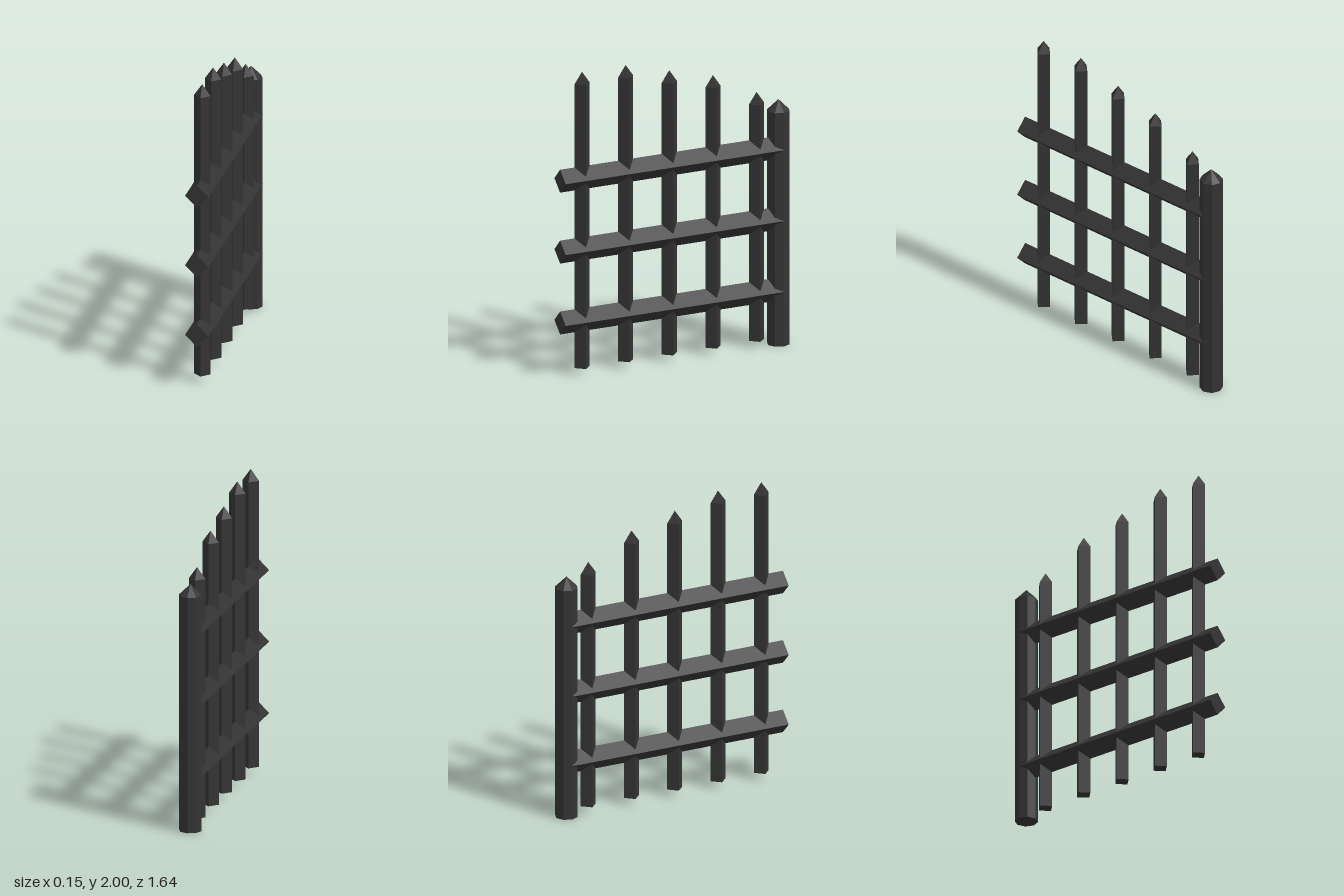
import * as THREE from 'three';

const material = new THREE.MeshStandardMaterial({ color: 0x333333, flatShading: true });

// Upright prism with a pointed top, corners on the x and z axes
function pointedBar(name, sides, radius, bottom, shoulder, tip, z) {
  const profile = [[0, bottom], [radius, bottom], [radius, shoulder], [0, tip]];
  const geometry = new THREE.LatheGeometry(profile.map(([r, y]) => new THREE.Vector2(r, y)), sides);
  const mesh = new THREE.Mesh(geometry, material);
  mesh.name = name;
  mesh.position.z = z;
  return mesh;
}

export function createModel() {
  const fence = new THREE.Group();
  fence.name = 'fence';

  // Octagonal end post
  fence.add(pointedBar('post', 8, 0.074, 0, 1.544, 1.617, -0.746));

  // Square pickets turned on edge, stepping down toward the post
  [2, 2, 1.92, 1.843, 1.687].forEach((tip, i) => {
    fence.add(pointedBar('picket' + (i + 1), 4, 0.054, 0.047, tip - 0.076, tip, 0.663 - i * 0.313));
  });

  // Diamond-section rails running from the post centre past the last picket
  const front = 0.82, back = -0.746;
  const railGeometry = new THREE.CylinderGeometry(0.076, 0.076, front - back, 4).rotateX(Math.PI / 2);
  [0.36, 0.829, 1.298].forEach((y, i) => {
    const rail = new THREE.Mesh(railGeometry, material);
    rail.name = 'rail' + (i + 1);
    rail.position.set(0, y, (front + back) / 2);
    fence.add(rail);
  });

  return fence;
}
